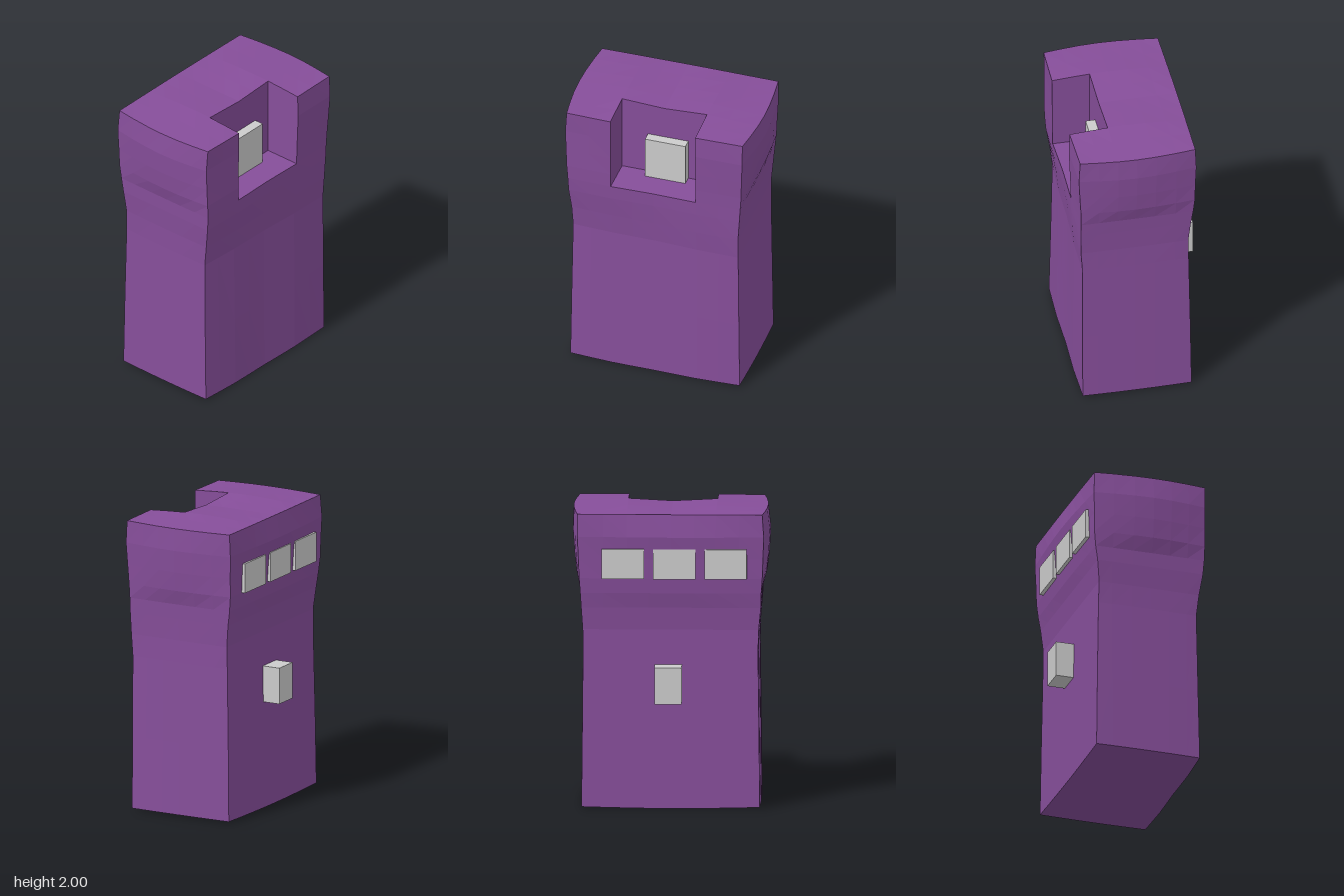
import * as THREE from 'three';

const purple = new THREE.MeshStandardMaterial({ color: 0x864e9a, flatShading: true });
const grey = new THREE.MeshStandardMaterial({ color: 0xcccccc });

// Body levels: y, left x, right x at front, right x at back, front z, back z, bulge of front and back, bulge of left
const levels = [
  [0.01, -0.33, 0.39, 0.405, 0.585, -0.595, 0.006, 0],
  [0.5, -0.323, 0.38, 0.405, 0.58, -0.59, 0.006, 0],
  [1.05, -0.313, 0.37, 0.405, 0.573, -0.585, 0.006, 0],
  [1.2, -0.31, 0.387, 0.415, 0.578, -0.587, 0.004, 0],
  [1.35, -0.325, 0.41, 0.418, 0.592, -0.597, 0.002, 0],
  [1.45, -0.34, 0.418, 0.418, 0.595, -0.603, 0.003, 0.006],
  [1.55, -0.35, 0.42, 0.42, 0.602, -0.61, 0.026, 0.005],
  [1.68, -0.352, 0.418, 0.428, 0.607, -0.615, 0.036, 0.012],
  [1.83, -0.357, 0.417, 0.436, 0.612, -0.622, 0.04, 0.024],
  [1.98, -0.35, 0.422, 0.428, 0.602, -0.622, 0.032, 0.004],
];
const xs = [-0.35, -0.22, -0.08, 0.05, 0.175, 0.3, 0.42];
const zs = [-0.6, -0.45, -0.295, -0.15, 0, 0.15, 0.295, 0.45, 0.6];
const nx = xs.length - 1, ny = levels.length - 1, nz = zs.length - 1;
const notchFloor = 5;

// The notch is cut into the upper part of the right-hand (+x) side
const solid = ([i, j, k]) =>
  i >= 0 && j >= 0 && k >= 0 && i < nx && j < ny && k < nz &&
  !(i >= 4 && j >= notchFloor && k >= 2 && k < 6);

// Only the outer layer of grid points follows the waisted, bulging outline
function bodyPoint([i, j, k]) {
  let [y, left, rightFront, rightBack, front, back, bulge, sideBulge] = levels[j];
  let x = xs[i], z = zs[k];
  const acrossX = Math.sin((Math.PI * i) / nx), acrossZ = Math.sin((Math.PI * k) / nz);
  if (k === nz) z = front + bulge * acrossX;
  if (k === 0) z = back - bulge * acrossX;
  if (i === 0) x = left - sideBulge * acrossZ;
  if (i === nx) x = THREE.MathUtils.lerp(rightBack, rightFront, k / nz) + 0.006 * Math.sin((2 * Math.PI * k) / nz) ** 2;
  if (j === ny) y += 0.018 * acrossX * Math.sin((Math.PI * k) / nz * 2) ** 2;
  if (j === 0) y -= 0.01 * acrossZ;
  return [x, y, z];
}

// Emit a quad wherever a solid cell meets empty space
function bodyGeometry() {
  const positions = [];
  const addSide = (cell, axis, sign) => {
    const next = [...cell];
    next[axis] += sign;
    if (solid(next)) return;
    const corners = [[0, 0], [1, 0], [1, 1], [0, 1]].map(([u, v]) => {
      const p = [...cell];
      if (sign > 0) p[axis] += 1;
      p[(axis + 1) % 3] += u;
      p[(axis + 2) % 3] += v;
      return bodyPoint(p);
    });
    if (sign < 0) corners.reverse();
    for (const c of [0, 1, 2, 0, 2, 3]) positions.push(...corners[c]);
  };
  for (let i = 0; i < nx; i++)
    for (let j = 0; j < ny; j++)
      for (let k = 0; k < nz; k++)
        if (solid([i, j, k]))
          for (let axis = 0; axis < 3; axis++)
            for (const sign of [-1, 1]) addSide([i, j, k], axis, sign);
  const geometry = new THREE.BufferGeometry();
  geometry.setAttribute('position', new THREE.Float32BufferAttribute(positions, 3));
  geometry.computeVertexNormals();
  return geometry;
}

// Box given by its lower and upper limits
function block(name, [x0, x1], [y0, y1], [z0, z1]) {
  const mesh = new THREE.Mesh(new THREE.BoxGeometry(x1 - x0, y1 - y0, z1 - z0), grey);
  mesh.position.set((x0 + x1) / 2, (y0 + y1) / 2, (z0 + z1) / 2);
  mesh.name = name;
  return mesh;
}

export function createModel() {
  const model = new THREE.Group();
  model.name = 'notchedBlock';

  const body = new THREE.Mesh(bodyGeometry(), purple);
  body.name = 'body';
  model.add(body);

  // Block standing in the notch
  model.add(block('notchBlock', [0.16, 0.24], [1.445, 1.75], [-0.165, 0.115]));

  // Row of three plates and one knob on the opposite side
  const plates = new THREE.Group();
  plates.name = 'plates';
  for (const z of [-0.32, 0.02, 0.36]) {
    plates.add(block('plate', [-0.378, -0.33], [1.55, 1.75], [z - 0.14, z + 0.14]));
  }
  model.add(plates);
  model.add(block('knob', [-0.44, -0.3], [0.72, 0.965], [-0.11, 0.07]));

  return model;
}
